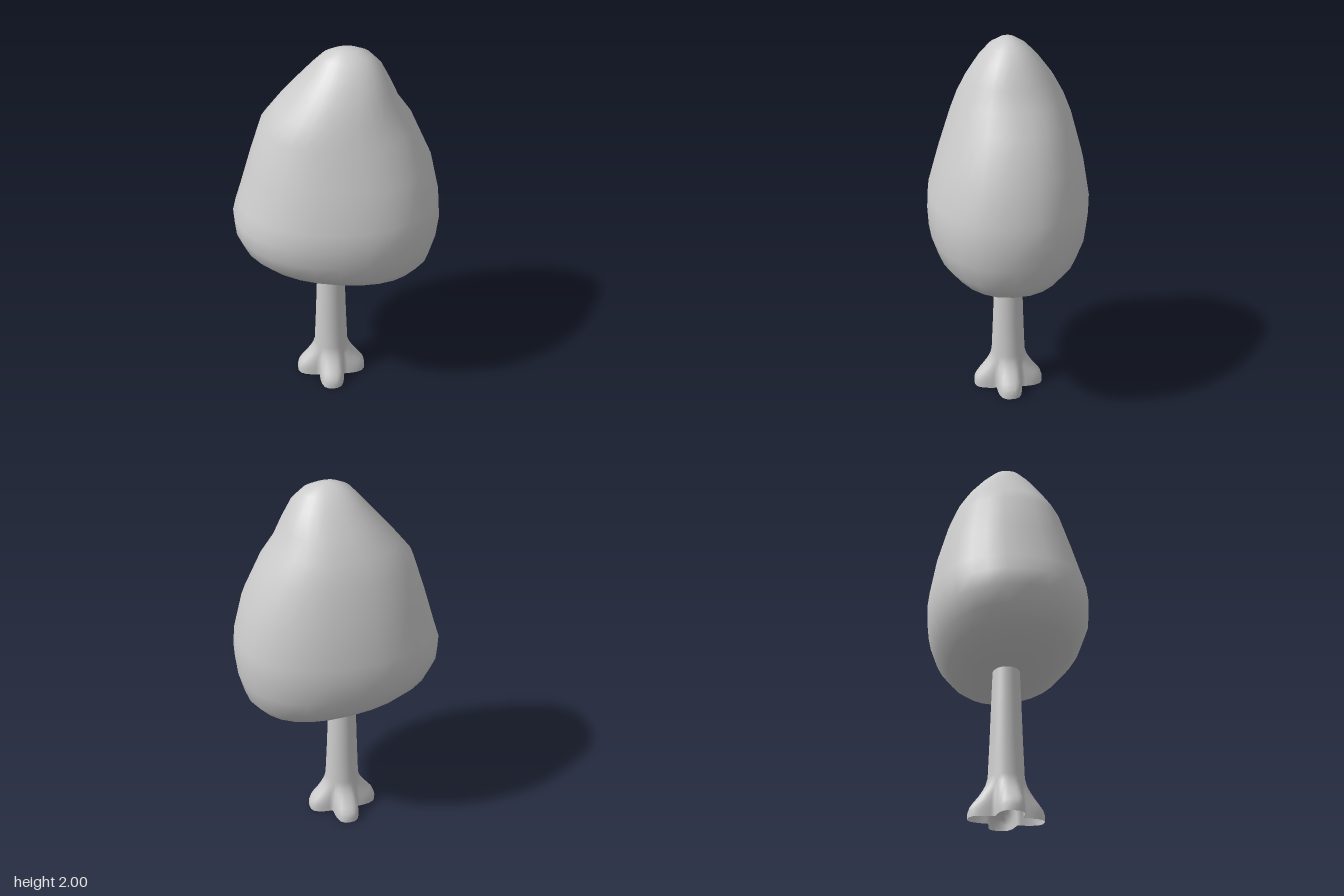
import * as THREE from 'three';
import { mergeVertices } from 'three/addons/utils/BufferGeometryUtils.js';

// Skins rows of rings, bottom to top; point(row, angle) gives [x, y, z]
function loft(rows, sides, point) {
  const pos = [], index = [];
  rows.forEach((row, i) => {
    for (let j = 0; j < sides; j++) {
      pos.push(...point(row, (j / sides) * Math.PI * 2));
      if (i === rows.length - 1) continue;
      const a = i * sides + j, b = i * sides + (j + 1) % sides;
      index.push(a, b, b + sides, a, b + sides, a + sides);
    }
  });
  const g = new THREE.BufferGeometry();
  g.setAttribute('position', new THREE.Float32BufferAttribute(pos, 3));
  g.setIndex(index);
  const merged = mergeVertices(g);
  merged.computeVertexNormals();
  return merged;
}

// Crown rows: y, left-most x, right-most x, back z, front z
const CROWN = [
  [0.765, 0.03, 0.03, 0, 0],
  [0.765, -0.18, 0.23, -0.16, 0.14],
  [0.785, -0.32, 0.35, -0.24, 0.22],
  [0.83, -0.43, 0.425, -0.3, 0.31],
  [0.9, -0.49, 0.485, -0.36, 0.37],
  [1.0, -0.525, 0.515, -0.4, 0.405],
  [1.1, -0.53, 0.528, -0.41, 0.41],
  [1.2, -0.5, 0.52, -0.41, 0.405],
  [1.4, -0.44, 0.475, -0.375, 0.35],
  [1.6, -0.375, 0.385, -0.32, 0.285],
  [1.7, -0.295, 0.315, -0.28, 0.25],
  [1.8, -0.21, 0.27, -0.225, 0.205],
  [1.9, -0.125, 0.22, -0.15, 0.145],
  [1.96, -0.07, 0.165, -0.09, 0.09],
  [1.99, -0.015, 0.105, -0.04, 0.04],
  [2.0, 0.04, 0.04, 0, 0],
];

function crownPoint([y, x0, x1, z0, z1], t) {
  // Slightly squared oval
  const soft = (v) => Math.sign(v) * Math.abs(v) ** 0.9;
  const x = (x0 + x1) / 2 + soft(Math.cos(t)) * (x1 - x0) / 2;
  const z = (z0 + z1) / 2 - soft(Math.sin(t)) * (z1 - z0) / 2;
  // The underside hangs lower towards +x
  const tilt = 0.12 * THREE.MathUtils.clamp((1.15 - y) / 0.35, 0, 1);
  return [x, y - tilt * x, z];
}

// Trunk rows: y, stem radius, reach of the roots
const TRUNK = [
  [0, 0.085, 0.188], [0.03, 0.085, 0.188], [0.055, 0.085, 0.18],
  [0.08, 0.085, 0.162], [0.11, 0.088, 0.138], [0.14, 0.09, 0.118],
  [0.17, 0.092, 0.102], [0.21, 0.091, 0.09], [0.4, 0.083, 0],
  [0.6, 0.076, 0], [0.76, 0.07, 0], [0.86, 0.068, 0],
];

function trunkPoint([y, stem, reach], t) {
  // Four rounded roots, one along each axis
  const quarter = Math.PI / 2;
  const off = Math.abs(Math.sin(t - Math.round(t / quarter) * quarter));
  const root = reach ? ((1 / reach) ** 4 + (off / 0.07) ** 4) ** -0.25 : 0;
  const r = Math.max(stem, root);
  return [-0.03 + r * Math.cos(t), y, -0.01 - r * Math.sin(t)];
}

export function createModel() {
  const group = new THREE.Group();
  group.name = 'tree';
  const grey = new THREE.MeshStandardMaterial({ color: 0xcccccc, side: THREE.DoubleSide });

  const crown = new THREE.Mesh(loft(CROWN, 28, crownPoint), grey);
  crown.name = 'crown';
  const trunk = new THREE.Mesh(loft(TRUNK, 48, trunkPoint), grey);
  trunk.name = 'trunk';

  group.add(crown, trunk);
  return group;
}
